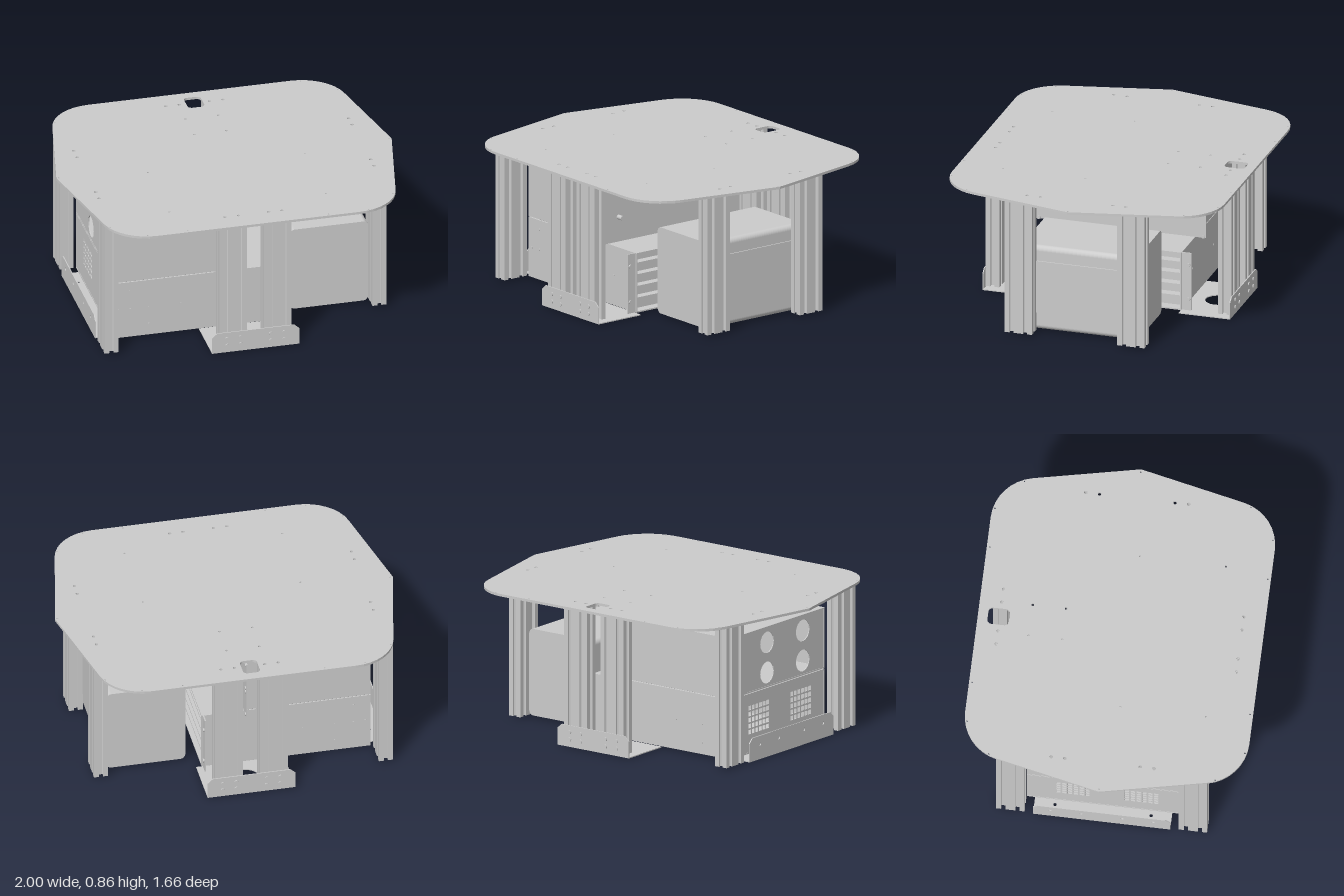
import * as THREE from 'three';

const grey = new THREE.MeshStandardMaterial({ color: 0xcccccc, side: THREE.DoubleSide });

export function createModel() {
  const root = new THREE.Group();

  const add = (name, geo, x = 0, y = 0, z = 0, parent = root) => {
    const m = new THREE.Mesh(geo, grey);
    m.name = name;
    m.position.set(x, y, z);
    parent.add(m);
    return m;
  };
  // box given by its limits
  const box = (name, x0, x1, y0, y1, z0, z1) =>
    add(name, new THREE.BoxGeometry(x1 - x0, y1 - y0, z1 - z0), (x0 + x1) / 2, (y0 + y1) / 2, (z0 + z1) / 2);

  const poly = (pts) => new THREE.Shape(pts.map(([a, b]) => new THREE.Vector2(a, b)));
  const rect = (a0, a1, b0, b1, r = 0.001) => {
    const s = new THREE.Shape();
    s.absarc(a1 - r, b1 - r, r, 0, Math.PI / 2);
    s.absarc(a0 + r, b1 - r, r, Math.PI / 2, Math.PI);
    s.absarc(a0 + r, b0 + r, r, Math.PI, Math.PI * 1.5);
    s.absarc(a1 - r, b0 + r, r, Math.PI * 1.5, Math.PI * 2);
    s.closePath();
    return s;
  };
  const circle = (shape, a, b, r) => shape.holes.push(new THREE.Path().absarc(a, b, r, 0, Math.PI * 2, true));
  const extrude = (shape, depth, curveSegments = 8) =>
    new THREE.ExtrudeGeometry(shape, { depth, bevelEnabled: false, curveSegments });
  // shape (x, z), thickness going down
  const flat = (shape, depth) => extrude(shape, depth).rotateX(Math.PI / 2);
  // shape (z, y), thickness going to -x
  const side = (shape, depth) => extrude(shape, depth).rotateY(-Math.PI / 2);

  // Table plate: eight-sided outline with four rounded corners
  const q = [[1, 1], [-1, 1], [-1, -1], [1, -1]];
  const plate = new THREE.Shape();
  plate.moveTo(1, 0);
  q.forEach(([sx, sz], i) => {
    const a = [0.869, 0.615], c1 = [0.842, 0.74], c2 = [0.73, 0.828], b = [0.603, 0.828];
    const [p, u, v, w] = (i % 2 ? [b, c2, c1, a] : [a, c1, c2, b]).map(([x, z]) => [x * sx, z * sz]);
    plate.lineTo(...p);
    plate.bezierCurveTo(...u, ...v, ...w);
    if (i === 1) plate.lineTo(-1, 0);
  });
  plate.closePath();
  plate.holes.push(rect(-0.05, 0.05, -0.77, -0.645, 0.025));
  for (const s of [-1, 1]) {
    for (const t of [-1, 1]) {
      for (const x of [0.09, 0.17]) circle(plate, s * x, t * 0.7, 0.01);
      for (const z of [0.22, 0.3]) circle(plate, s * 0.82, t * z, 0.01);
      for (const [x, z] of [[0.42, 0.81], [0.66, 0.81], [0.845, 0.66]]) circle(plate, s * x, t * z, 0.005);
    }
    for (const z of [-0.52, -0.325]) circle(plate, s * 0.097, z, 0.008);
    for (const z of [0.06, 0.56]) circle(plate, s * 0.467, z, 0.006);
    circle(plate, s * 0.985, 0, 0.005);
  }
  add('tablePlate', flat(plate, 0.015), 0, 0.86, 0);

  // Slotted double-width post profile, long side along x
  const c = 0.0415;
  const slot = [[-0.012, 0], [-0.012, 0.008], [-0.021, 0.008], [-0.021, 0.014], [-0.012, 0.024],
    [0.012, 0.024], [0.021, 0.014], [0.021, 0.008], [0.012, 0.008], [0.012, 0]];
  const pts = [];
  const edge = (ox, oy, dx, dy, centres) => {
    pts.push([ox, oy]);
    for (const k of centres) for (const [t, d] of slot)
      pts.push([ox + dx * (k + t) - dy * d, oy + dy * (k + t) + dx * d]);
  };
  edge(-2 * c, -c, 1, 0, [c, 3 * c]);
  edge(2 * c, -c, 0, 1, [c]);
  edge(2 * c, c, -1, 0, [c, 3 * c]);
  edge(-2 * c, c, 0, -1, [c]);
  const profile = poly(pts);
  circle(profile, -c, 0, 0.009);
  circle(profile, c, 0, 0.009);
  const postGeo = flat(profile, 0.835);
  const boltGeo = new THREE.CylinderGeometry(0.012, 0.012, 0.008, 12);
  for (const s of [-1, 1]) {
    for (const t of [-1, 1]) add(t > 0 ? 'frontPost' : 'backPost', postGeo, s * 0.133, 0.845, t * 0.705);
    add('rightPost', postGeo, -0.825, 0.845, s * 0.532).rotation.y = Math.PI / 2;
    add('leftPost', postGeo, 0.82, 0.845, s * 0.342).rotation.y = Math.PI / 2;
  }

  // Front and back feet: angle brackets with a round opening
  for (const t of [-1, 1]) {
    const foot = new THREE.Group();
    foot.name = t > 0 ? 'frontFoot' : 'backFoot';
    root.add(foot);
    const face = poly([[-0.26, 0], [0.26, 0], [0.26, 0.1], [0.23, 0.127], [-0.23, 0.127], [-0.26, 0.1]]);
    add('footFace', extrude(face, 0.006), 0, 0.002, t > 0 ? 0.747 : -0.753, foot);
    const base = rect(-0.26, 0.26, 0.44, 0.75);
    circle(base, 0, 0.6, 0.08);
    for (const s of [-1, 1]) for (const x of [0.09, 0.17]) {
      circle(base, s * x, 0.705, 0.011);
      for (const y of [0.045, 0.09])
        add('footBolt', boltGeo, s * x, y, t * 0.755, foot).rotation.x = Math.PI / 2;
    }
    const m = add('footBase', flat(base, 0.006), 0, 0.006, 0, foot);
    if (t < 0) m.rotation.y = Math.PI;
  }

  // Side tray under the cabinets
  const tray = poly([[-0.87, -0.4], [-0.47, -0.4], [-0.45, -0.38], [-0.45, 0.38], [-0.47, 0.4], [-0.87, 0.4]]);
  tray.holes.push(rect(-0.69, -0.63, -0.14, 0.14, 0.029));
  for (const s of [-1, 1]) for (const x of [-0.8, -0.52]) circle(tray, x, s * 0.28, 0.01);
  add('trayBase', flat(tray, 0.006), 0, 0.006, 0);
  const lip = poly([[-0.4, 0], [0.4, 0], [0.4, 0.11], [0.37, 0.14], [-0.37, 0.14], [-0.4, 0.11]]);
  for (const s of [-1, 1]) for (const z of [0.12, 0.3]) circle(lip, s * z, 0.09, 0.01);
  add('trayLip', side(lip, 0.006), -0.864, 0, 0);

  // Cabinet shells, open at both ends
  const shell = (name, x0, x1, y0, y1, zh) => {
    const s = rect(-zh, zh, y0, y1);
    s.holes.push(rect(-zh + 0.008, zh - 0.008, y0 + 0.008, y1 - 0.008));
    add(name, side(s, x1 - x0), x1, 0, 0);
  };
  const screw = (name, x, y, z, len = 0.008, r = 0.011) =>
    add(name, new THREE.CylinderGeometry(r, r, len, 12), x, y, z).rotation.z = Math.PI / 2;

  // Upper cabinet
  shell('upperCabinet', -0.77, -0.025, 0.372, 0.735, 0.447);
  add('upperFrontPanel', side(rect(-0.515, 0.515, 0.372, 0.735), 0.008), -0.02, 0, 0);
  const fans = rect(-0.44, 0.44, 0.38, 0.727);
  for (const z of [-0.1, 0.24]) for (const y of [0.46, 0.64]) circle(fans, z, y, 0.065);
  add('upperFanPanel', side(fans, 0.006), -0.762, 0, 0);
  for (const s of [-1, 1]) {
    for (const y of [0.38, 0.54, 0.565, 0.725]) screw('panelScrew', -0.018, y, s * 0.5);
    for (const y of [0.52, 0.705]) screw('panelKnob', 0, y, s * 0.38, 0.04, 0.014);
  }

  // Lower cabinet with recessed front and vented back
  shell('lowerCabinet', -0.77, 0.23, 0.01, 0.368, 0.447);
  box('lowerInnerPanel', 0.16, 0.17, 0.018, 0.36, -0.44, 0.44);
  for (const y of [0.09, 0.16, 0.23, 0.3]) box('lowerShelf', 0.17, 0.222, y, y + 0.008, -0.44, 0.44);
  const vents = rect(-0.44, 0.44, 0.018, 0.36);
  for (const zc of [-0.18, 0.22]) for (let i = 0; i < 6; i++) for (let j = 0; j < 5; j++) {
    const z = zc + (i - 2.5) * 0.034, y = 0.21 + (j - 2) * 0.036;
    vents.holes.push(rect(z - 0.013, z + 0.013, y - 0.013, y + 0.013, 0.003));
  }
  add('lowerVentPanel', side(vents, 0.006), -0.762, 0, 0);
  for (const s of [-1, 1]) {
    box('rackFlange', 0.215, 0.223, 0.012, 0.368, s > 0 ? 0.447 : -0.505, s > 0 ? 0.505 : -0.447);
    for (const y of [0.08, 0.295]) screw('flangeScrew', 0.227, y, s * 0.488);
    for (const [x, y] of [[-0.74, 0.19], [-0.67, 0.19], [-0.56, 0.19], [-0.37, 0.19], [0.02, 0.19], [-0.67, 0.31], [-0.56, 0.08]])
      add('sideScrew', new THREE.CylinderGeometry(0.007, 0.007, 0.004, 10), x, y, s * 0.448).rotation.x = Math.PI / 2;
  }

  // Separate housing with rounded long edges
  const housing = extrude(rect(0.305, 0.772, 0.012, 0.53, 0.03), 0.7);
  add('housing', housing, 0, 0, -0.35);
  box('housingSideRail', 0.77, 0.78, 0.12, 0.44, -0.3, 0.3);

  return root;
}
